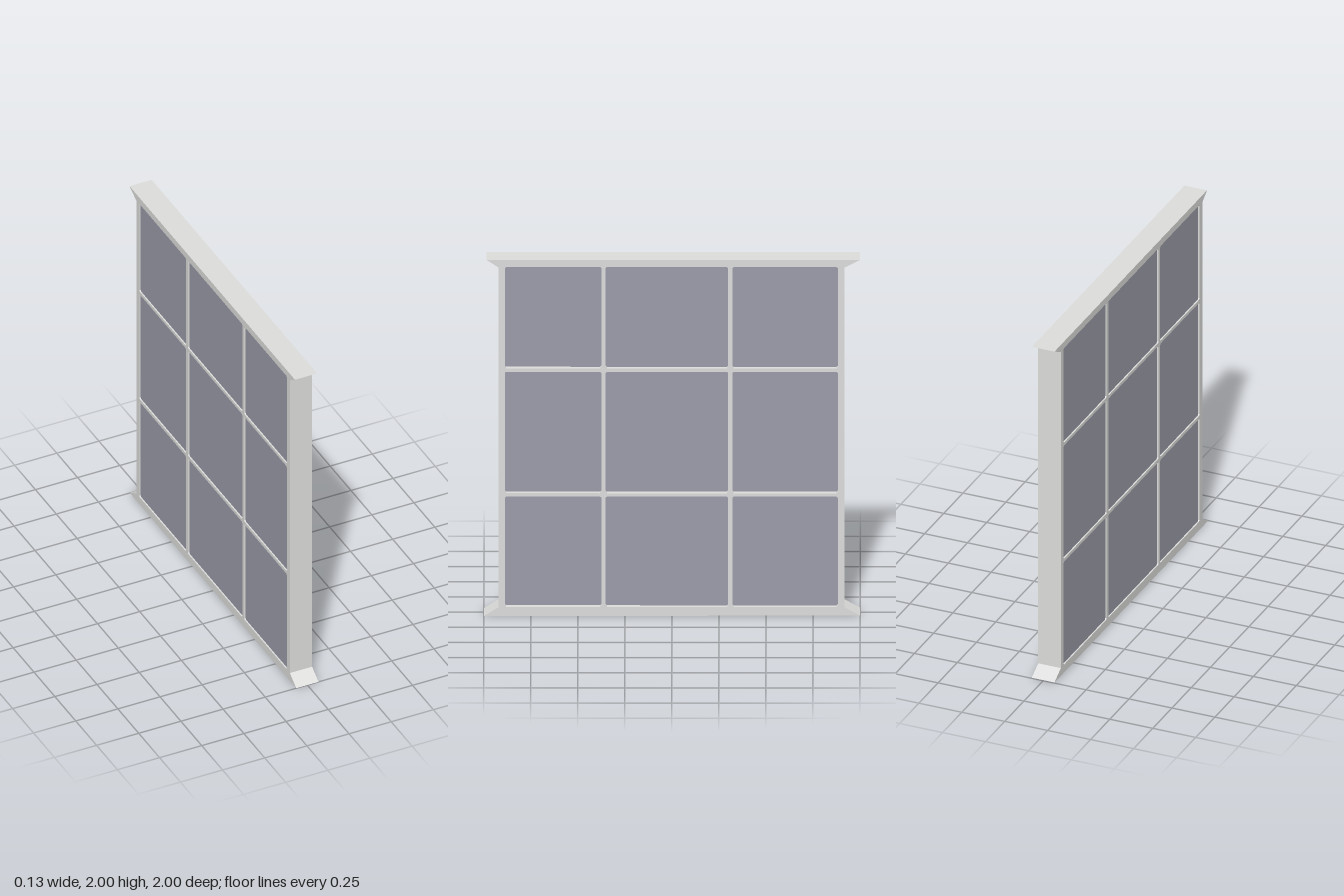
import * as THREE from 'three';

export function createModel() {
  const model = new THREE.Group();
  model.name = 'gridWindow';

  const frameMaterial = new THREE.MeshStandardMaterial({ color: 0xdddddc });
  frameMaterial.name = 'pale grey frame';
  const glassMaterial = new THREE.MeshStandardMaterial({ color: 0x9a9ba8 });
  glassMaterial.name = 'blue grey glass';

  const halfDepth = 0.066;
  // Opening spans: u runs along -z, v runs up
  const columns = [[-0.888, -0.375], [-0.353, 0.299], [0.321, 0.882]];
  const rows = [[0.051, 0.671], [0.69, 1.372], [1.39, 1.96]];

  // Outline with splayed ends on the sill and the head
  const outline = new THREE.Shape([
    [-1, 0], [1, 0.004], [0.917, 0.05], [0.917, 1.957],
    [1, 2], [-0.985, 2], [-0.923, 1.957], [-0.923, 0.05],
  ].map(([u, v]) => new THREE.Vector2(u, v)));

  // Opening with small clipped corners
  const opening = (u0, u1, v0, v1, c = 0.007) => new THREE.Path([
    [u0 + c, v0], [u0, v0 + c], [u0, v1 - c], [u0 + c, v1],
    [u1 - c, v1], [u1, v1 - c], [u1, v0 + c], [u1 - c, v0],
  ].map(([u, v]) => new THREE.Vector2(u, v)));

  // Panes sit close to the -x face and deeper behind the +x face
  const glassBack = -0.058, glassFront = 0.036;
  const panes = new THREE.Group();
  panes.name = 'glassPanes';
  for (const [u0, u1] of columns) {
    for (const [v0, v1] of rows) {
      outline.holes.push(opening(u0, u1, v0, v1));
      const pane = new THREE.Mesh(
        new THREE.BoxGeometry(glassFront - glassBack, v1 - v0, u1 - u0), glassMaterial);
      pane.position.set((glassFront + glassBack) / 2, (v0 + v1) / 2, -(u0 + u1) / 2);
      pane.name = 'glassPane';
      panes.add(pane);
    }
  }
  model.add(panes);

  // Frame and glazing bars, extruded through the thickness
  const frameGeometry = new THREE.ExtrudeGeometry(outline, { depth: 2 * halfDepth, bevelEnabled: false });
  frameGeometry.translate(0, 0, -halfDepth);
  frameGeometry.rotateY(Math.PI / 2);
  const frame = new THREE.Mesh(frameGeometry, frameMaterial);
  frame.name = 'frameAndGlazingBars';
  model.add(frame);

  return model;
}
